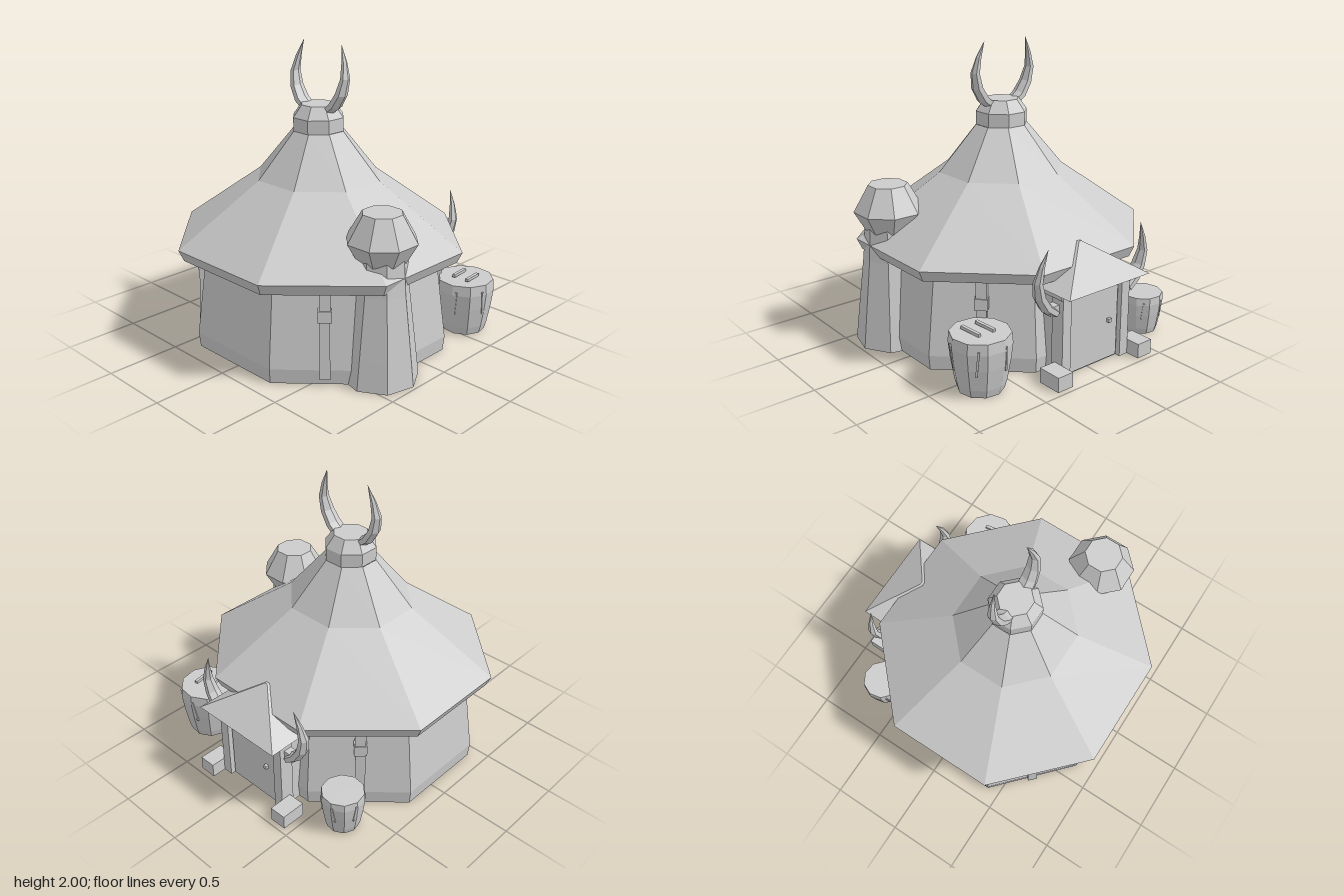
import * as THREE from 'three';

const CX = -0.04, CZ = 0.09; // axis of the hut
const stone = new THREE.MeshStandardMaterial({ color: 0xcccccc, flatShading: true, side: THREE.DoubleSide });
stone.name = 'plain grey';

function add(parent, name, geometry, x = 0, y = 0, z = 0) {
  const mesh = new THREE.Mesh(geometry, stone);
  mesh.name = name;
  mesh.position.set(x, y, z);
  parent.add(mesh);
  return mesh;
}

// Faceted solid from [apothem, y] pairs, listed from bottom to top
function faceted(profile, sides = 8, turn = Math.PI / sides) {
  const k = 1 / Math.cos(Math.PI / sides);
  return new THREE.LatheGeometry(profile.map(([r, y]) => new THREE.Vector2(r * k, y)), sides, turn);
}

const box = (w, h, d) => new THREE.BoxGeometry(w, h, d);

// Curved horn: flattened rings along a bent path, ending in a point
function hornGeometry() {
  // x, y, z, half width, half depth
  const rings = [
    [0.09, 1.56, 0, 0.03, 0.06], [0.155, 1.61, 0, 0.035, 0.058], [0.205, 1.69, -0.004, 0.034, 0.05],
    [0.228, 1.79, -0.014, 0.027, 0.037], [0.208, 1.89, -0.026, 0.018, 0.02], [0.17, 2.0, -0.04, 0, 0]];
  const sides = 6, pos = [], idx = [];
  rings.forEach(([x, y, z, w, d], i) => {
    const a = rings[Math.max(i - 1, 0)], b = rings[Math.min(i + 1, rings.length - 1)];
    const t = Math.atan2(b[1] - a[1], b[0] - a[0]);
    for (let j = 0; j < sides; j++) {
      const q = j / sides * Math.PI * 2, s = Math.cos(q) * w;
      pos.push(x + Math.sin(t) * s, y - Math.cos(t) * s, z + Math.sin(q) * d);
      if (i > 0) {
        const n = (j + 1) % sides, p = (i - 1) * sides, c = i * sides;
        idx.push(p + j, c + j, p + n, p + n, c + j, c + n);
      }
    }
  });
  const g = new THREE.BufferGeometry();
  g.setAttribute('position', new THREE.Float32BufferAttribute(pos, 3));
  g.setIndex(idx);
  g.computeVertexNormals();
  return g;
}

function hornPair(parent, name, spread, y, z) {
  for (const s of [1, -1]) {
    const g = hornGeometry();
    g.translate(spread, 0, 0);
    if (s < 0) {
      g.scale(-1, 1, 1);
      const ix = g.index.array;
      for (let i = 0; i < ix.length; i += 3) [ix[i], ix[i + 1]] = [ix[i + 1], ix[i]];
      g.computeVertexNormals();
    }
    add(parent, (s > 0 ? 'left' : 'right') + name, g, CX, y, z);
  }
}

// Barrel with thin cracks around its side
function barrel(parent, name, x, z, scale, topStrips) {
  const group = new THREE.Group();
  group.name = name;
  group.position.set(x, 0, z);
  group.scale.setScalar(scale);
  add(group, name + 'Body', faceted(
    [[0, 0.005], [0.14, 0.005], [0.155, 0.06], [0.178, 0.2], [0.19, 0.31], [0.184, 0.38], [0, 0.38]], 10, 0.2));
  for (let i = 0; i < 6; i++) {
    const a = i * Math.PI / 3 + 0.3;
    const crack = add(group, name + 'Crack', box(0.014, 0.17, 0.012),
      Math.sin(a) * 0.187, 0.25, Math.cos(a) * 0.187);
    crack.rotation.set(0.1, a, i % 2 ? 0.12 : -0.1, 'YXZ');
  }
  if (topStrips) for (const sx of [-0.045, 0.065]) {
    const strip = add(group, name + 'TopStrip', box(0.022, 0.02, 0.155), sx, 0.395, 0.01);
    strip.rotation.set(-0.05, 0.14, 0);
  }
  parent.add(group);
}

export function createModel() {
  const model = new THREE.Group();
  model.name = 'roundHut';

  // Eight-sided walls, open below, a little longer across than deep
  const walls = add(model, 'walls', faceted([[0.845, 0], [0.855, 0.1], [0.785, 0.64]]), CX, 0, CZ);
  walls.scale.z = 0.92;

  // Roof with closed underside and a steeper upper part
  const roof = add(model, 'roof', faceted(
    [[0, 0.635], [0.905, 0.635], [0.938, 0.71], [0.405, 1.12], [0.165, 1.43]]), CX, 0, CZ);
  roof.scale.z = 0.95;
  add(model, 'roofCap', faceted([[0, 1.43], [0.163, 1.43], [0.163, 1.52], [0.108, 1.6], [0, 1.6]]), CX, 0, CZ);
  hornPair(model, 'RoofHorn', 0, 0, CZ);

  // Posts with collars on the four diagonal walls
  for (const sx of [1, -1]) for (const sz of [1, -1]) {
    const post = new THREE.Group();
    post.name = 'wallPost';
    post.position.set(CX + sx * 0.6, 0, CZ + sz * 0.545);
    post.rotation.set(-0.035, Math.atan2(sx, sz), 0, 'YXZ');
    add(post, 'postLower', box(0.066, 0.4, 0.066), 0, 0.245, 0);
    add(post, 'postCollar', box(0.085, 0.075, 0.085), 0, 0.465, 0);
    add(post, 'postUpper', box(0.07, 0.15, 0.07), 0, 0.57, 0);
    model.add(post);
  }

  // Flared chimney with a wide head
  add(model, 'chimneyColumn', faceted(
    [[0.232, 0], [0.21, 0.2], [0.165, 0.6], [0.15, 0.82]], 8, 0.14), 0.73, 0, 0.315);
  add(model, 'chimneyHead', faceted(
    [[0, 0.79], [0.145, 0.79], [0.213, 0.92], [0.12, 1.095], [0, 1.095]]), 0.73, 0, 0.315);

  // Porch at the back
  const porch = new THREE.Group();
  porch.name = 'porch';
  model.add(porch);
  add(porch, 'porchBody', box(0.54, 0.54, 0.3), CX, 0.27, -0.68);
  add(porch, 'doorPanel', box(0.42, 0.5, 0.008), CX, 0.26, -0.834);
  add(porch, 'doorKnob', box(0.025, 0.025, 0.025), CX - 0.13, 0.28, -0.848);
  add(porch, 'doorBeam', box(0.6, 0.055, 0.24), CX, 0.565, -0.74);
  for (const s of [1, -1]) {
    add(porch, 'doorPost', box(0.07, 0.55, 0.1), CX + s * 0.255, 0.275, -0.815);
    add(porch, 'doorstepBlock', box(0.12, 0.1, 0.17), CX + s * 0.35, 0.05, -0.88);
    add(porch, 'hornBracket', box(0.1, 0.06, 0.06), CX + s * 0.31, 0.47, -0.8);
  }
  const porchRoof = add(porch, 'porchRoof', faceted(
    [[0, 0.59], [0.345, 0.59], [0.01, 0.81], [0, 0.81]], 4), CX, 0, -0.69);
  porchRoof.scale.z = 0.84;
  hornPair(porch, 'PorchHorn', 0.225, -1.11, -0.8);

  // Barrels beside the porch
  barrel(model, 'largeBarrel', 0.69, -0.61, 1, true);
  barrel(model, 'smallBarrel', -0.68, -0.66, 0.73, false);
  return model;
}
